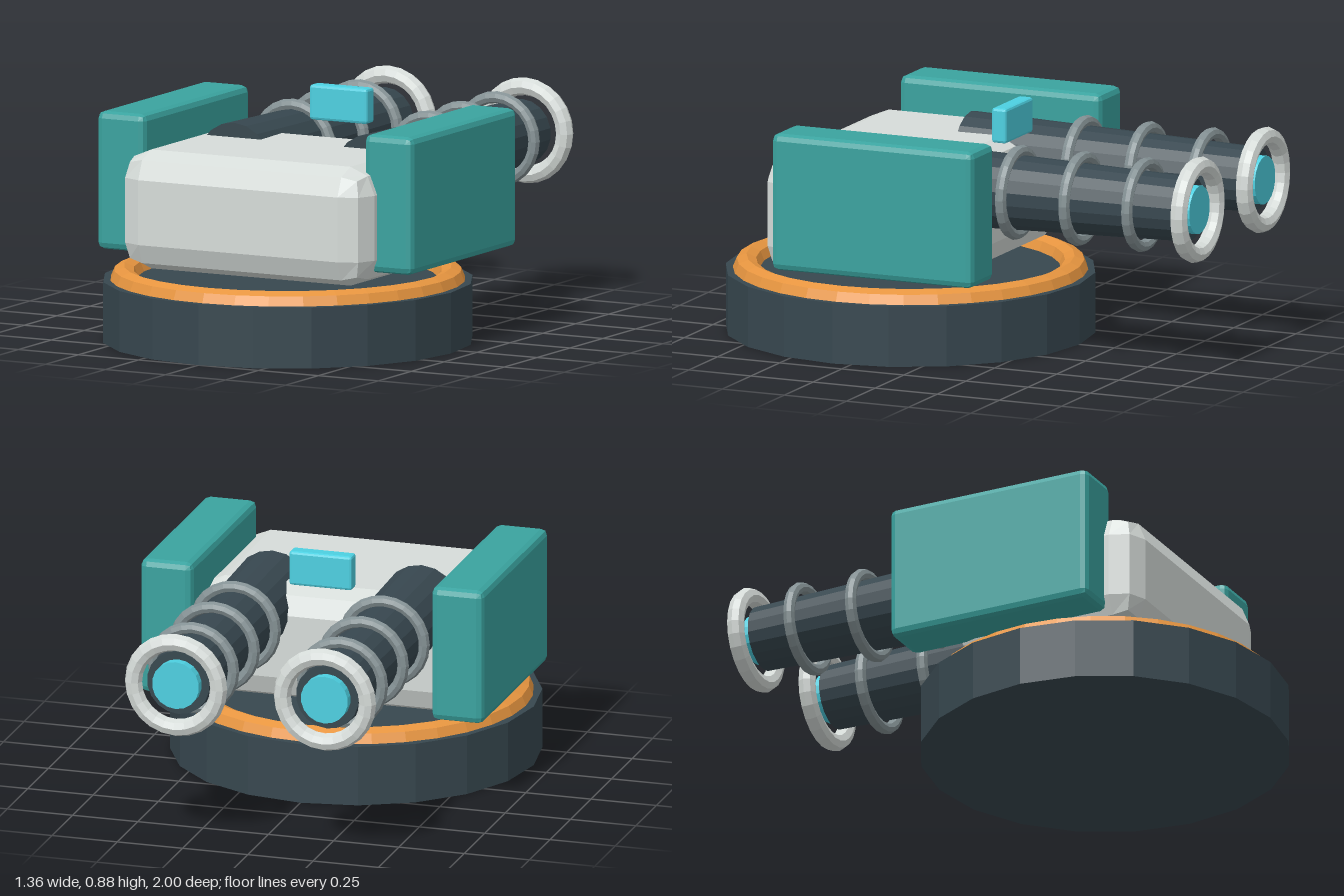
import * as THREE from 'three';
import { RoundedBoxGeometry } from 'three/addons/geometries/RoundedBoxGeometry.js';

function material(name, color) {
  const m = new THREE.MeshStandardMaterial({ color, flatShading: true });
  m.name = name;
  return m;
}

export function createModel() {
  const slate = material('dark slate', 0x37474f);
  const teal = material('teal', 0x3aa39f);
  const pale = material('pale grey', 0xd6dcd9);
  const grey = material('mid grey', 0x849194);
  const orange = material('orange', 0xee9a42);
  const cyan = material('cyan', 0x4dd0e1);

  const model = new THREE.Group();
  model.name = 'twinBarrelTurret';

  function add(parent, name, geometry, mat, x, y, z) {
    const mesh = new THREE.Mesh(geometry, mat);
    mesh.name = name;
    mesh.position.set(x, y, z);
    parent.add(mesh);
    return mesh;
  }

  // Round base with an orange bearing ring
  add(model, 'base', new THREE.CylinderGeometry(0.68, 0.68, 0.225, 20), slate, 0, 0.1125, 0.32);
  const bearing = new THREE.TorusGeometry(0.6, 0.05, 8, 32).rotateX(Math.PI / 2);
  add(model, 'bearingRing', bearing, orange, 0, 0.225, 0.32);

  // Chamfered housing
  add(model, 'housing', new RoundedBoxGeometry(1.03, 0.44, 0.76, 1, 0.1), pale, 0, 0.49, 0.32);

  // Floating sight block
  add(model, 'sight', new RoundedBoxGeometry(0.24, 0.13, 0.06, 1, 0.01), cyan, 0, 0.815, -0.09);

  for (const side of [-1, 1]) {
    const label = side > 0 ? 'left' : 'right';

    // Armour pod
    add(model, label + 'Pod', new RoundedBoxGeometry(0.2, 0.51, 0.81, 1, 0.025), teal,
      side * 0.557, 0.575, 0.175);

    // Tapered barrel pointing backwards, with cooling rings, muzzle ring and lens
    const gun = new THREE.Group();
    gun.name = label + 'Gun';
    gun.position.set(side * 0.285, 0.614, 0);
    model.add(gun);

    const barrel = new THREE.CylinderGeometry(0.12, 0.15, 1.15, 18).rotateX(-Math.PI / 2);
    add(gun, 'barrel', barrel, slate, 0, 0, -0.365);
    for (const z of [-0.245, -0.5, -0.753]) {
      add(gun, 'coolingRing', new THREE.TorusGeometry(0.153, 0.022, 8, 24), grey, 0, 0, z);
    }
    add(gun, 'muzzleRing', new THREE.TorusGeometry(0.163, 0.033, 8, 24), pale, 0, 0, -0.967);
    const lens = new THREE.CylinderGeometry(0.09, 0.09, 0.04, 18).rotateX(Math.PI / 2);
    add(gun, 'lens', lens, cyan, 0, 0, -0.955);
  }

  return model;
}
